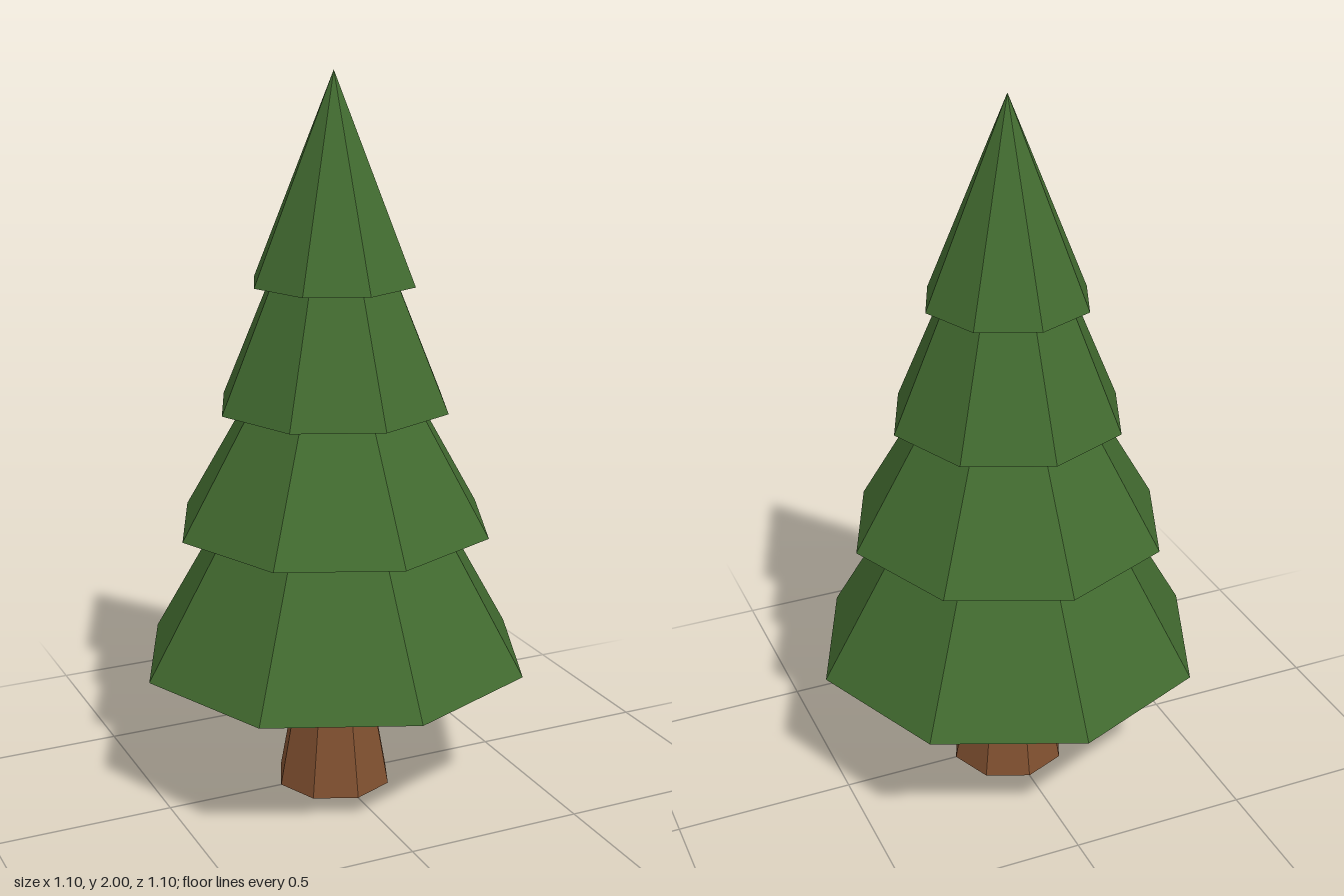
import * as THREE from 'three';

const SIDES = 8;

export function createModel() {
  const tree = new THREE.Group();
  tree.name = 'pineTree';

  const needles = new THREE.MeshStandardMaterial({ color: 0x426b30, flatShading: true });
  needles.name = 'needleGreen';
  const bark = new THREE.MeshStandardMaterial({ color: 0x805030, flatShading: true });
  bark.name = 'barkBrown';

  // Faceted solid turned from a [radius, height] profile, listed bottom to top
  function turned(name, profile, material) {
    const points = profile.map(([r, y]) => new THREE.Vector2(r, y));
    const mesh = new THREE.Mesh(new THREE.LatheGeometry(points, SIDES), material);
    mesh.name = name;
    tree.add(mesh);
  }

  // Trunk: flared foot, narrowing quickly under the branches
  turned('trunk', [[0, 0], [0.165, 0], [0.112, 0.285], [0.083, 0.385], [0, 0.385]], bark);

  // Branch tiers: underside, rim, then the sloping skirt
  turned('bottomTier', [[0, 0.385], [0.55, 0.385], [0.335, 0.757], [0, 0.757]], needles);
  turned('lowerTier', [[0, 0.755], [0.335, 0.757], [0.445, 0.772], [0.25, 1.106], [0, 1.106]], needles);
  turned('upperTier', [[0, 1.1], [0.25, 1.102], [0.326, 1.108], [0.182, 1.445], [0, 1.445]], needles);
  turned('topTier', [[0, 1.442], [0.23, 1.444], [0, 2]], needles);

  return tree;
}
